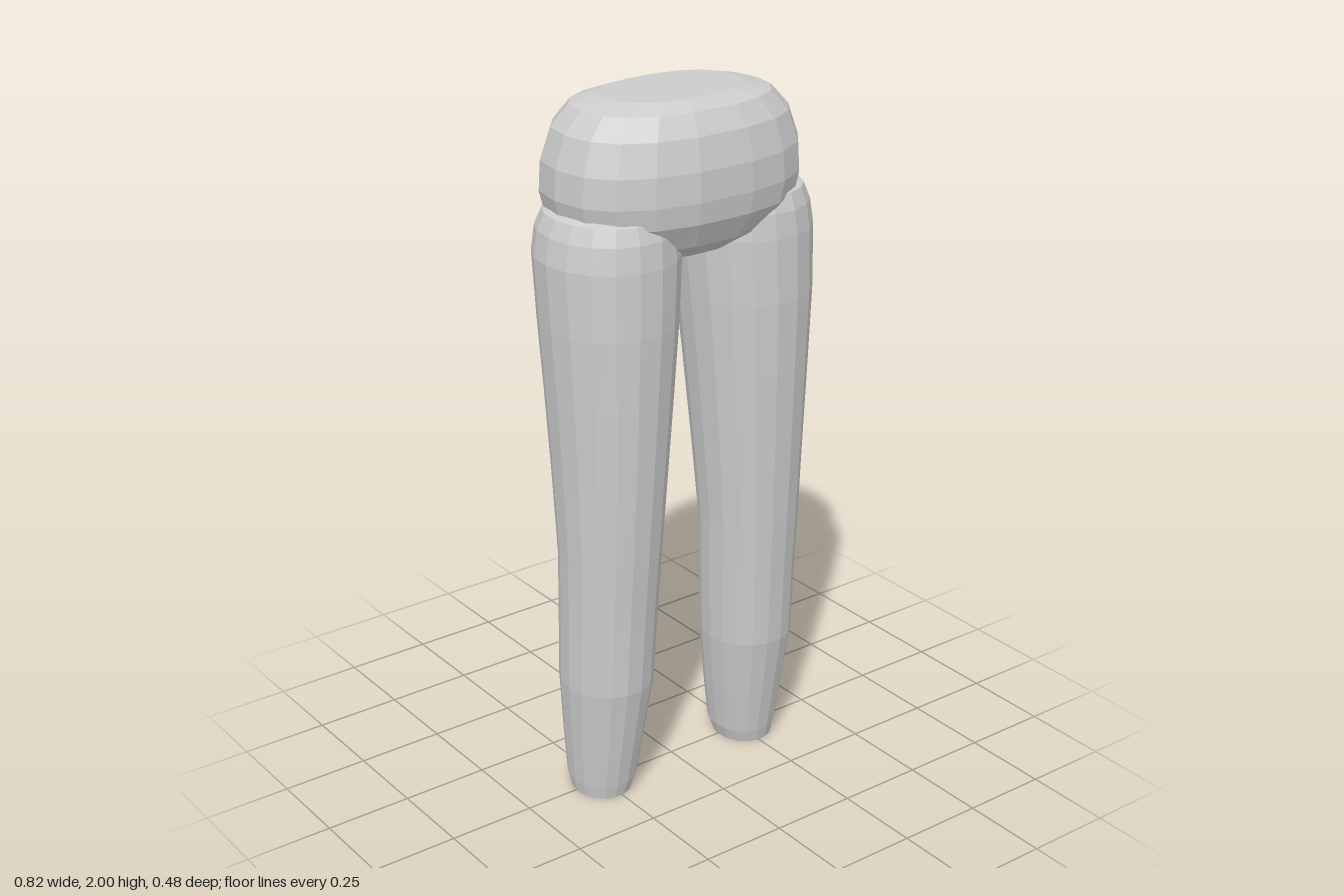
import * as THREE from 'three';

const SIDES = 18;

// Skins a stack of rounded rings [y, centreX, centreZ, radiusX, radiusZ], listed bottom to top
function loft(rings, power, capped) {
  const pos = [], index = [];
  const bend = v => Math.sign(v) * Math.pow(Math.abs(v), 2 / power);
  for (const [y, cx, cz, rx, rz] of rings) {
    for (let j = 0; j < SIDES; j++) {
      const t = (j / SIDES) * Math.PI * 2;
      pos.push(cx + rx * bend(Math.cos(t)), y, cz + rz * bend(Math.sin(t)));
    }
  }
  for (let i = 0; i < rings.length - 1; i++) {
    for (let j = 0; j < SIDES; j++) {
      const k = (j + 1) % SIDES;
      const a = i * SIDES + j, b = i * SIDES + k;
      index.push(a, a + SIDES, b, b, a + SIDES, b + SIDES);
    }
  }
  if (capped) {
    const top = (rings.length - 1) * SIDES;
    for (let j = 1; j < SIDES - 1; j++) {
      index.push(0, j, j + 1);
      index.push(top, top + j + 1, top + j);
    }
  }
  const g = new THREE.BufferGeometry();
  g.setAttribute('position', new THREE.Float32BufferAttribute(pos, 3));
  g.setIndex(index);
  const flat = g.toNonIndexed();
  flat.computeVertexNormals();
  return flat;
}

export function createModel() {
  const model = new THREE.Group();
  model.name = 'trousers';
  const grey = new THREE.MeshStandardMaterial({ color: 0xcccccc, flatShading: true, side: THREE.DoubleSide });
  grey.name = 'light grey';

  // Closed, rounded hip block with a flat top
  const hips = new THREE.Mesh(loft([
    [1.57, 0, 0, 0.09, 0.07],
    [1.585, 0, 0, 0.18, 0.14],
    [1.63, 0, 0, 0.28, 0.2],
    [1.7, 0, 0, 0.355, 0.235],
    [1.76, 0, 0, 0.37, 0.243],
    [1.84, 0, 0, 0.365, 0.24],
    [1.925, 0, 0, 0.335, 0.22],
    [1.98, 0, 0, 0.285, 0.186],
    [2.0, 0, 0, 0.205, 0.132],
  ], 2.4, true), grey);
  hips.name = 'hips';
  model.add(hips);

  // Tapered legs, open at the ankle; [y, inner x, outer x, back z, front z]
  const legProfile = [
    [0.02, 0.18, 0.33, -0.075, 0.09],
    [0.0, 0.175, 0.34, -0.085, 0.1],
    [0.04, 0.162, 0.347, -0.098, 0.11],
    [0.18, 0.143, 0.36, -0.106, 0.135],
    [0.36, 0.122, 0.375, -0.111, 0.165],
    [0.56, 0.113, 0.376, -0.108, 0.176],
    [0.74, 0.105, 0.378, -0.105, 0.188],
    [0.98, 0.087, 0.385, -0.128, 0.202],
    [1.22, 0.066, 0.396, -0.15, 0.213],
    [1.42, 0.048, 0.406, -0.17, 0.22],
    [1.6, 0.033, 0.41, -0.188, 0.217],
    [1.67, 0.04, 0.398, -0.183, 0.21],
    [1.715, 0.06, 0.378, -0.165, 0.195],
    [1.725, 0.09, 0.35, -0.13, 0.16],
  ];
  for (const side of [1, -1]) {
    const rings = legProfile.map(([y, x0, x1, z0, z1]) =>
      [y, side * (x0 + x1) / 2, (z0 + z1) / 2, (x1 - x0) / 2, (z1 - z0) / 2]);
    const leg = new THREE.Mesh(loft(rings, 2.1, false), grey);
    leg.name = side > 0 ? 'leftLeg' : 'rightLeg';
    model.add(leg);
  }
  return model;
}
